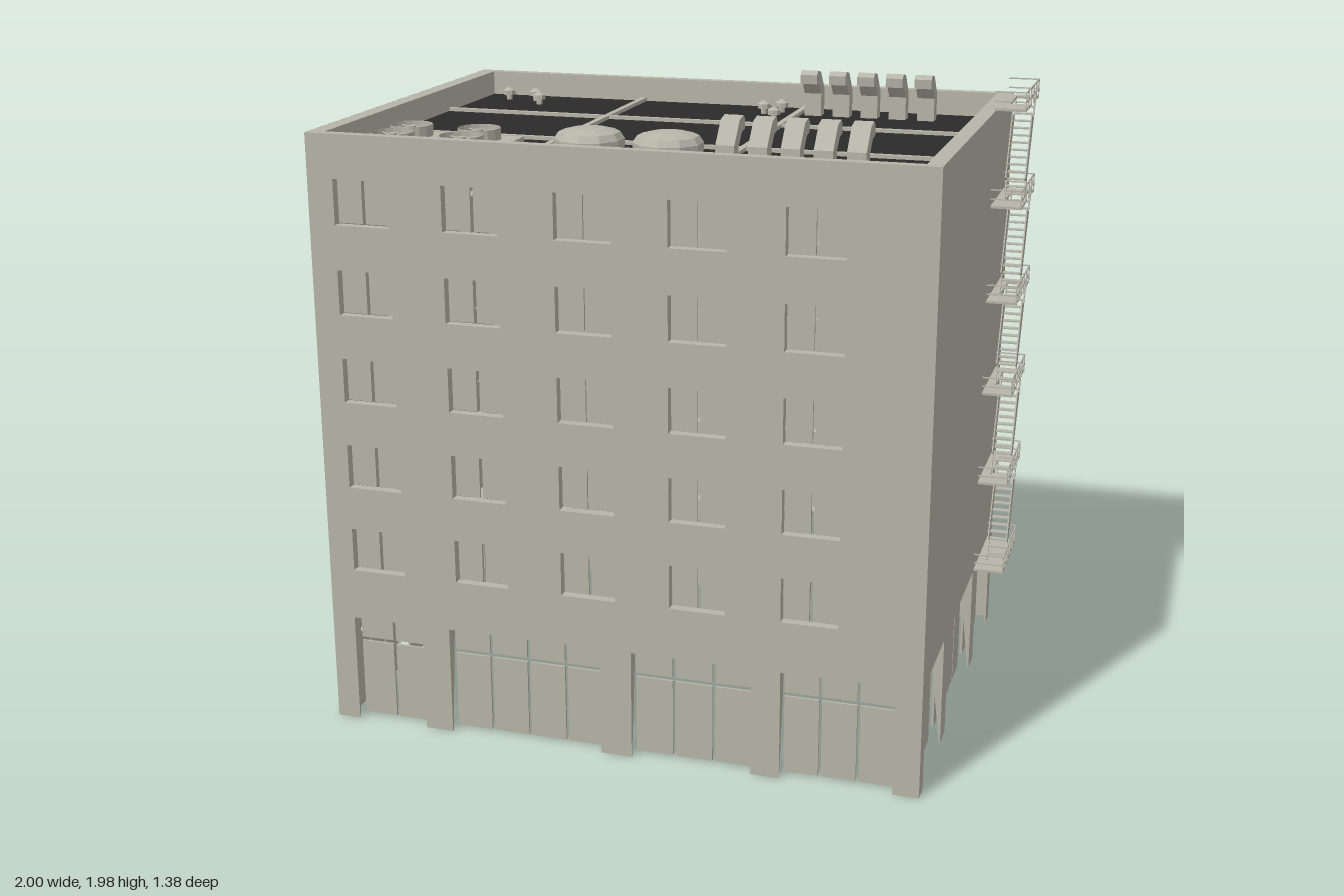
import * as THREE from 'three';
import { mergeGeometries } from 'three/addons/utils/BufferGeometryUtils.js';

const mat = (name, color) => new THREE.MeshStandardMaterial({ name, color, flatShading: true, side: THREE.DoubleSide });
const stone = mat('warm grey concrete', 0xb7b4a8);
const tar = mat('dark roofing', 0x2a2a2a);

const TOP = 1.9, DECK = 1.82;
const box = (x0, x1, y0, y1, z0, z1) =>
  new THREE.BoxGeometry(x1 - x0, y1 - y0, z1 - z0).translate((x0 + x1) / 2, (y0 + y1) / 2, (z0 + z1) / 2);
const add = (parent, name, geos, material = stone) => {
  const m = new THREE.Mesh(Array.isArray(geos) ? mergeGeometries(geos) : geos, material);
  m.name = name;
  parent.add(m);
  return m;
};

// Horizontal strip running back from the wall face
const ledge = (l, r, y, d) => new THREE.PlaneGeometry(r - l, d).rotateX(Math.PI / 2).translate((l + r) / 2, y, -d / 2);

// Upright jamb; foot is its depth at the bottom
function jamb(x, b, t, d, foot) {
  const g = new THREE.PlaneGeometry(d, t - b).rotateY(Math.PI / 2).translate(x, (b + t) / 2, -d / 2);
  const p = g.attributes.position;
  for (let i = 0; i < p.count; i++)
    if (p.getY(i) < (b + t) / 2 && p.getZ(i) < -d / 2) p.setZ(i, -foot);
  return g;
}

// One facade in its own XY plane, facing +z; bays are [left, right, panel count]
function facade(name, x0, x1, bays, columns) {
  const g = new THREE.Group();
  g.name = name;
  const s = new THREE.Shape();
  const reveals = [], panes = [];
  s.moveTo(x0, 0);
  for (const [l, r, n] of [...bays].sort((a, b) => a[0] - b[0])) {
    const t = 0.352, d = 0.045, step = (r - l) / n;
    s.lineTo(l, 0).lineTo(l, t).lineTo(r, t).lineTo(r, 0);
    // Shopfront jambs taper towards the ground
    reveals.push(ledge(l, r, t, d), jamb(l, 0, t, d, 0.004), jamb(r, 0, t, d, 0.004));
    for (let i = 0; i < n; i++) {
      const a = l + i * step + 0.0045, b = l + (i + 1) * step - 0.0045;
      panes.push(box(a, b, 0.006, 0.258, -d, -d + 0.008), box(a, b, 0.271, t - 0.004, -d, -d + 0.008));
    }
  }
  s.lineTo(x1, 0).lineTo(x1, TOP).lineTo(x0, TOP).closePath();
  for (const c of columns) {
    for (let row = 0; row < 5; row++) {
      const l = c - 0.087, r = c + 0.087, b = 0.515 + row * 0.2775, t = b + 0.14, d = 0.03;
      const hole = new THREE.Path();
      hole.moveTo(l, b).lineTo(l, t).lineTo(r, t).lineTo(r, b).closePath();
      s.holes.push(hole);
      reveals.push(ledge(l, r, t, d), ledge(l, r, b, d), jamb(l, b, t, d, d), jamb(r, b, t, d, d));
      for (const [p, q] of [[l + 0.004, c - 0.005], [c + 0.005, r - 0.004]])
        panes.push(box(p, q, b + 0.004, t - 0.004, -d, -d + 0.008));
    }
  }
  add(g, 'wall', new THREE.ShapeGeometry(s));
  add(g, 'openingReveals', reveals);
  add(g, 'windowPanes', panes);
  return g;
}

function buildWalls(root) {
  const cols = [-0.83, -0.483, -0.135, 0.21, 0.555];
  const bays = [[-0.925, -0.69, 2], [-0.6, -0.1, 4], [0, 0.38, 3], [0.47, 0.82, 3]];
  const sideBays = [[-0.63, -0.325, 3], [-0.24, 0.24, 4], [0.325, 0.63, 3]];
  const flip = (list) => list.map(([l, r, n]) => [-r, -l, n]);
  const front = facade('frontFacade', -1, 0.9, bays, cols);
  front.position.z = 0.69;
  const back = facade('backFacade', -0.9, 1, flip(bays), cols.map((c) => -c));
  back.position.z = -0.69;
  back.rotation.y = Math.PI;
  const windowed = facade('windowedSide', -0.69, 0.69, sideBays, [-0.515, -0.172, 0.172, 0.515]);
  windowed.position.x = -1;
  windowed.rotation.y = -Math.PI / 2;
  const blank = facade('stairSide', -0.69, 0.69, sideBays, []);
  blank.position.x = 0.9;
  blank.rotation.y = Math.PI / 2;
  root.add(front, back, windowed, blank);
}

function buildRoof(root) {
  add(root, 'roofDeck', box(-0.95, 0.85, DECK - 0.01, DECK, -0.655, 0.655), tar);
  // Parapet: four walls around the deck, kept just inside the facades
  add(root, 'parapet', [
    box(-0.999, -0.95, DECK - 0.01, TOP, -0.689, 0.689), box(0.85, 0.899, DECK - 0.01, TOP, -0.689, 0.689),
    box(-0.95, 0.85, DECK - 0.01, TOP, 0.655, 0.689), box(-0.95, 0.85, DECK - 0.01, TOP, -0.689, -0.655)]);
  const strips = [];
  for (const x of [-0.385, 0.205]) strips.push(box(x - 0.01, x + 0.01, DECK, DECK + 0.012, -0.655, 0.655));
  for (const z of [-0.26, 0.18]) strips.push(box(-0.95, 0.85, DECK, DECK + 0.011, z - 0.009, z + 0.009));
  add(root, 'roofStrips', strips);

  // Cooling units with two fans each
  for (const x of [-0.79, -0.565]) {
    const unit = new THREE.Group();
    unit.name = 'coolingUnit';
    add(unit, 'casing', box(x - 0.095, x + 0.095, DECK, 1.845, 0.275, 0.56));
    for (const z of [0.352, 0.492]) {
      const fx = x - 0.02;
      add(unit, 'fanRing', new THREE.CylinderGeometry(0.066, 0.066, 0.035, 16, 1, true).translate(fx, 1.8625, z));
      const blades = [new THREE.CylinderGeometry(0.014, 0.014, 0.03, 8).translate(fx, 1.86, z)];
      for (let i = 0; i < 8; i++)
        blades.push(new THREE.BoxGeometry(0.052, 0.004, 0.022).rotateX(0.7).translate(0.038, 0, 0)
          .rotateY(i * Math.PI / 4).translate(fx, 1.862, z));
      add(unit, 'fanBlades', blades);
    }
    root.add(unit);
  }

  // Wide domed ventilators
  const dome = [[0.085, DECK], [0.085, 1.855], [0.105, 1.855], [0.105, 1.88], [0.092, 1.9], [0.05, 1.911], [0, 1.913]];
  for (const x of [-0.2, 0.045])
    add(root, 'domedVent', new THREE.LatheGeometry(dome.map((p) => new THREE.Vector2(...p)), 10).translate(x, 0, 0.43));

  // Small mushroom vents
  const cap = [[0.011, DECK], [0.011, 1.838], [0.022, 1.838], [0.022, 1.853], [0, 1.866]];
  for (const [x, z] of [[-0.85, -0.55], [-0.75, -0.55], [-0.71, -0.48], [0.14, -0.55], [0.088, -0.51], [0.152, -0.395]])
    add(root, 'mushroomVent', new THREE.LatheGeometry(cap.map((p) => new THREE.Vector2(...p)), 8).translate(x, 0, z));

  // Hooked ducts: profile in (z, y), swept across the duct width
  const hook = [[0.572, DECK], [0.572, 1.905], [0.515, 1.97], [0.475, 1.978], [0.457, 1.965], [0.46, 1.935],
    [0.49, 1.932], [0.525, 1.895], [0.525, DECK]];
  const duct = new THREE.ExtrudeGeometry(new THREE.Shape(hook.map((p) => new THREE.Vector2(...p))),
    { depth: 0.056, bevelEnabled: false }).rotateY(-Math.PI / 2).translate(0.028, 0, 0);
  for (const x of [0.257, 0.353, 0.448, 0.543, 0.638]) {
    add(root, 'frontDuct', duct).position.x = x;
    const rear = add(root, 'rearDuct', duct);
    rear.rotation.y = Math.PI;
    rear.position.set(x, 0, 0.015);
  }
}

// Thin bar between two points
function bar(a, b, w = 0.004, h = w) {
  const p = new THREE.Vector3(...a), q = new THREE.Vector3(...b);
  const m = new THREE.Matrix4().lookAt(q, p, new THREE.Vector3(Math.abs(p.x - q.x) + Math.abs(p.z - q.z) < 1e-6 ? 1 : 0, 1, 0));
  m.setPosition(p.clone().add(q).multiplyScalar(0.5));
  return new THREE.BoxGeometry(w, h, p.distanceTo(q)).applyMatrix4(m);
}

function buildFireEscape(root) {
  const g = new THREE.Group();
  g.name = 'fireEscape';
  const X0 = 0.9, X1 = 0.997, ZA = -0.26, ZB = -0.565, rise = 0.311;
  for (let i = 0; i < 6; i++) {
    const y = 0.35 + i * rise, t = y + 0.008;
    // Landing with an opening over the stair below
    add(g, 'landing', i === 0 ? box(X0, X1, y, t, ZB, ZA) : [
      box(X0, 0.932, y, t, ZB, ZA), box(0.932, X1, y, t, -0.365, ZA), box(0.932, X1, y, t, ZB, -0.53)]);
    const rails = [];
    for (const h of [0.03, 0.06]) {
      rails.push(bar([X1, y + h, ZA], [X1, y + h, ZB]));
      for (const z of [ZA, ZB]) rails.push(bar([X0, y + h, z], [X1, y + h, z]));
    }
    for (let k = 0; k <= 5; k++) {
      const z = ZA + (ZB - ZA) * k / 5;
      rails.push(bar([X1, y, z], [X1, y + 0.062, z]));
    }
    add(g, 'landingRails', rails);
    if (i === 5) break;
    // Stair flight: stringers, treads, side panels
    const lo = [t, -0.355], hi = [y + rise, -0.525], flight = [];
    for (const x of [0.93, 0.992]) {
      flight.push(bar([x, lo[0], lo[1]], [x, hi[0], hi[1]], 0.004, 0.012));
      flight.push(bar([x, y + 0.072, -0.378], [x, y + 0.265, -0.472], 0.004, 0.036));
    }
    for (let k = 1; k < 14; k++) {
      const f = k / 14, ty = lo[0] + (hi[0] - lo[0]) * f, tz = lo[1] + (hi[1] - lo[1]) * f;
      flight.push(box(0.93, 0.992, ty - 0.002, ty + 0.002, tz - 0.011, tz + 0.011));
    }
    add(g, 'stairFlight', flight);
  }
  root.add(g);
}

export function createModel() {
  const root = new THREE.Group();
  root.name = 'officeBlock';
  buildWalls(root);
  buildRoof(root);
  buildFireEscape(root);
  return root;
}
